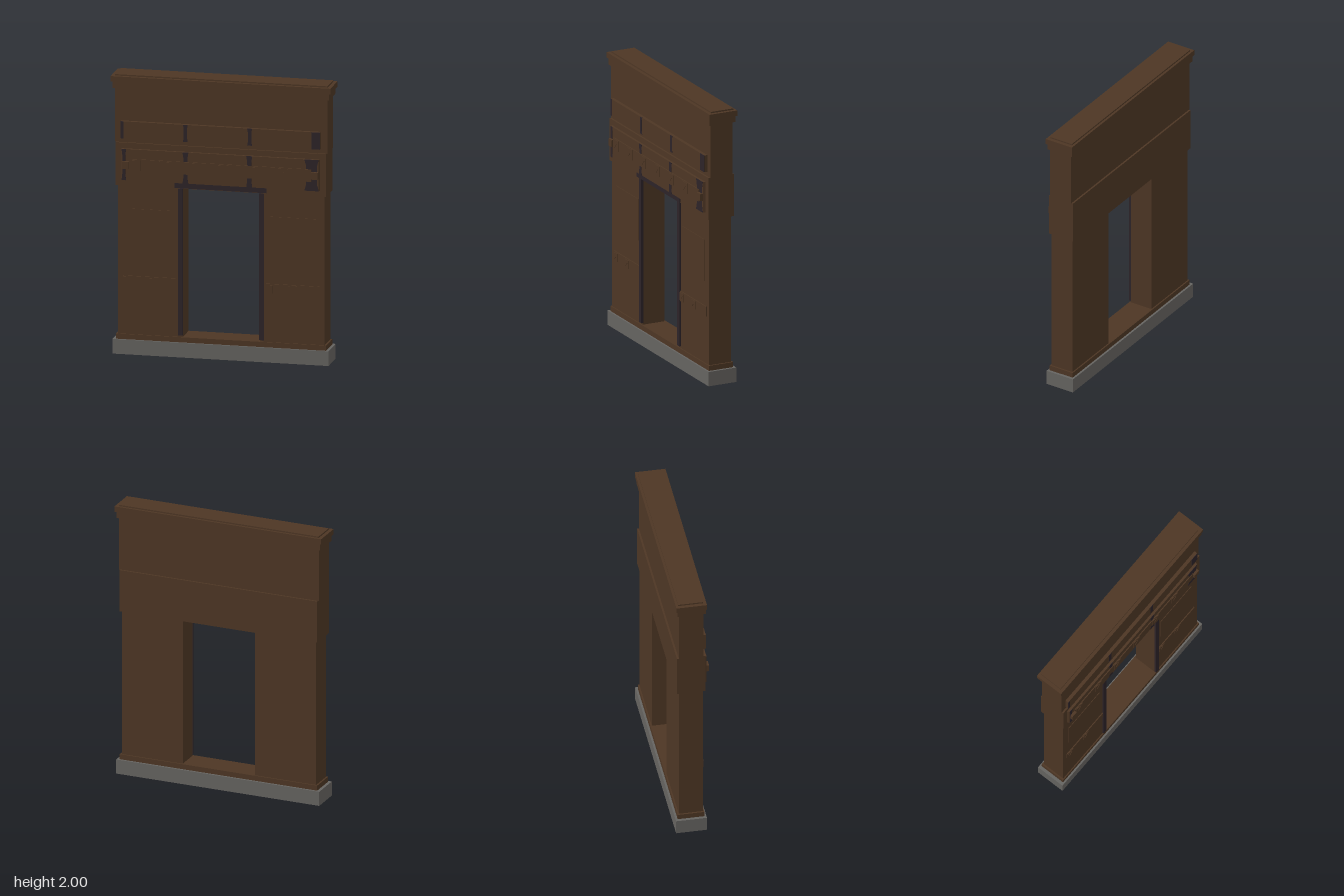
import * as THREE from 'three';

const material = (name, color) => {
  const m = new THREE.MeshStandardMaterial({ color });
  m.name = name;
  return m;
};

export function createModel() {
  const wood = material('brown wood', 0x4d3624);
  const dark = material('dark trim', 0x2c2328);
  const stone = material('grey stone', 0x656360);
  const model = new THREE.Group();
  model.name = 'doorwayFacade';

  // Box given by its limits on each axis
  const block = (name, mat, x0, x1, y0, y1, z0, z1) => {
    const mesh = new THREE.Mesh(new THREE.BoxGeometry(x1 - x0, y1 - y0, z1 - z0), mat);
    mesh.position.set((x0 + x1) / 2, (y0 + y1) / 2, (z0 + z1) / 2);
    mesh.name = name;
    model.add(mesh);
    return mesh;
  };

  // Box whose front face is drawn in by a bevel
  const bevelled = (name, mat, x0, x1, y0, y1, z0, z1, inset) => {
    const mesh = block(name, mat, x0, x1, y0, y1, z0, z1);
    mesh.geometry = mesh.geometry.toNonIndexed();
    const p = mesh.geometry.attributes.position;
    for (let i = 0; i < p.count; i++) {
      if (p.getZ(i) > 0) p.setX(i, p.getX(i) - Math.sign(p.getX(i)) * inset);
    }
    mesh.geometry.computeVertexNormals();
    return mesh;
  };

  // Thin dark inlay, narrower at mid-height
  const inlay = (x0, x1, y0, y1, z, waist) => {
    const h = y1 - y0;
    const s = new THREE.Shape([
      [x0, y0], [x1, y0], [x1 - waist, y0 + h * 0.2], [x1 - waist, y0 + h * 0.8],
      [x1, y1], [x0, y1], [x0 + waist, y0 + h * 0.8], [x0 + waist, y0 + h * 0.2],
    ].map(([x, y]) => new THREE.Vector2(x, y)));
    const mesh = new THREE.Mesh(new THREE.ExtrudeGeometry(s, { depth: 0.002, bevelEnabled: false }), dark);
    mesh.position.z = z;
    mesh.name = 'darkInlay';
    model.add(mesh);
  };

  // Small square plaque with a slanted ridge
  const plaque = (x, y, size, z) => {
    const r = size / 2;
    block('plaque', wood, x - r, x + r, y - r, y + r, z, z + 0.004);
    const ridge = block('plaqueRidge', wood, x - r * 0.6, x + r * 0.6, y - 0.004, y + 0.004, z + 0.003, z + 0.007);
    ridge.rotation.z = 0.8;
  };

  // Base and wall masses
  block('stoneBase', stone, -0.772, 0.77, 0, 0.105, -0.125, 0.093);
  block('plinth', wood, -0.75, 0.75, 0.105, 0.142, -0.11, 0.08);
  block('doorBeam', wood, -0.752, 0.75, 1.21, 1.517, -0.115, 0.085);
  block('upperWall', wood, -0.759, 0.757, 1.517, 1.905, -0.102, 0.072);

  // Stepped cornice
  block('lowerCornice', wood, -0.773, 0.77, 1.903, 1.95, -0.117, 0.085);
  block('upperCornice', wood, -0.786, 0.783, 1.95, 1.99, -0.125, 0.091);
  block('cap', wood, -0.76, 0.757, 1.99, 2, -0.108, 0.067);

  // Piers with door trim, square panels and low bands
  for (const s of [-1, 1]) {
    const side = (name, mat, a, b, y0, y1, z0, z1) =>
      block(name, mat, Math.min(s * a, s * b), Math.max(s * a, s * b), y0, y1, z0, z1);
    side('pier', wood, 0.275, 0.738, 0.142, 1.21, -0.1, 0.072);
    side('doorTrim', dark, 0.273, 0.306, 0.155, 1.207, 0.068, 0.084);
    side('wallPanel', wood, 0.337, 0.677, 0.74, 1.043, 0.07, 0.076);
    side('lowBand', wood, 0.306, 0.702, 0.487, 0.561, 0.07, 0.079);
  }
  for (const x of [-0.667, -0.5, 0.34, 0.512]) plaque(x, 0.524, 0.058, 0.079);

  // Door lintel
  block('doorLintel', dark, -0.328, 0.327, 1.214, 1.25, 0.08, 0.092);

  // Upper frieze with dark inlays
  block('upperFrieze', wood, -0.713, 0.711, 1.55, 1.672, 0.07, 0.096);
  for (const [a, b, w] of [[-0.713, -0.692, 0], [-0.268, -0.234, 0.005], [0.19, 0.225, 0.005], [0.65, 0.711, 0]])
    inlay(a, b, 1.55, 1.672, 0.096, w);

  // Lower frieze with dark inlays
  bevelled('lowerFrieze', wood, -0.712, 0.708, 1.252, 1.476, 0.083, 0.102, 0.006);
  for (const [a, b, w] of [[-0.705, -0.672, 0.006], [-0.27, -0.228, 0.007], [0.185, 0.228, 0.007], [0.6, 0.702, 0.012]])
    inlay(a, b, 1.252, 1.476, 0.102, w);

  // Rail with plaques and end pegs
  block('rail', wood, -0.652, 0.65, 1.318, 1.407, 0.1, 0.109);
  for (let i = 0; i < 6; i++) plaque(-0.607 + i * 0.21, 1.363, 0.075, 0.109);
  for (const s of [-1, 1])
    block('railPeg', wood, s * 0.674 - 0.025, s * 0.674 + 0.025, 1.338, 1.389, 0.1, 0.122);

  return model;
}
